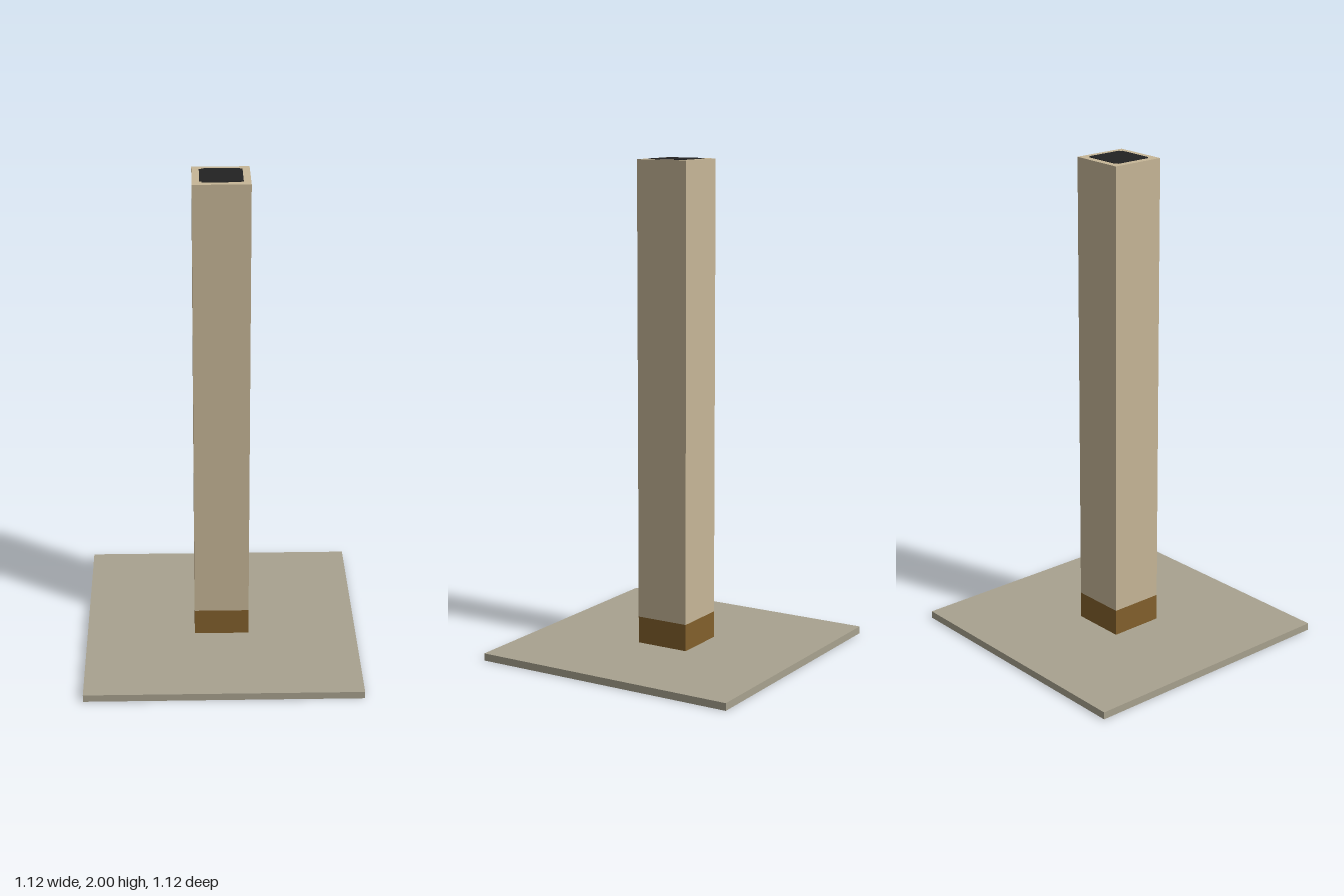
import * as THREE from 'three';

export function createModel() {
  const model = new THREE.Group();
  const mat = (name, color) => new THREE.MeshStandardMaterial({ name, color });
  const stone = mat('grey stone', 0xa8a28f);
  const tan = mat('tan', 0xc6b697);
  const brown = mat('brown', 0x82602c);
  const black = mat('black', 0x222222);

  // Square block centred on the axis, from height y0 to y1
  const block = (name, width, y0, y1, material) => {
    const mesh = new THREE.Mesh(new THREE.BoxGeometry(width, y1 - y0, width), material);
    mesh.name = name;
    mesh.position.y = (y0 + y1) / 2;
    model.add(mesh);
  };

  block('basePlate', 1.125, 0, 0.03, stone);
  block('footBand', 0.225, 0.03, 0.14, brown);
  block('post', 0.225, 0.14, 1.998, tan);

  // Dark opening on the top: a square with small notched corners
  const a = 0.084, b = 0.075;
  const outline = [];
  for (let i = 0; i < 4; i++) {
    const turn = i * Math.PI / 2;
    for (const [x, y] of [[a, -b], [a, b], [b, b]]) {
      outline.push(new THREE.Vector2(x, y).rotateAround(new THREE.Vector2(), turn));
    }
  }
  const opening = new THREE.Mesh(
    new THREE.ExtrudeGeometry(new THREE.Shape(outline), { depth: 0.002, bevelEnabled: false }), black);
  opening.name = 'topOpening';
  opening.rotation.x = -Math.PI / 2;
  opening.position.y = 1.998;
  model.add(opening);

  return model;
}
